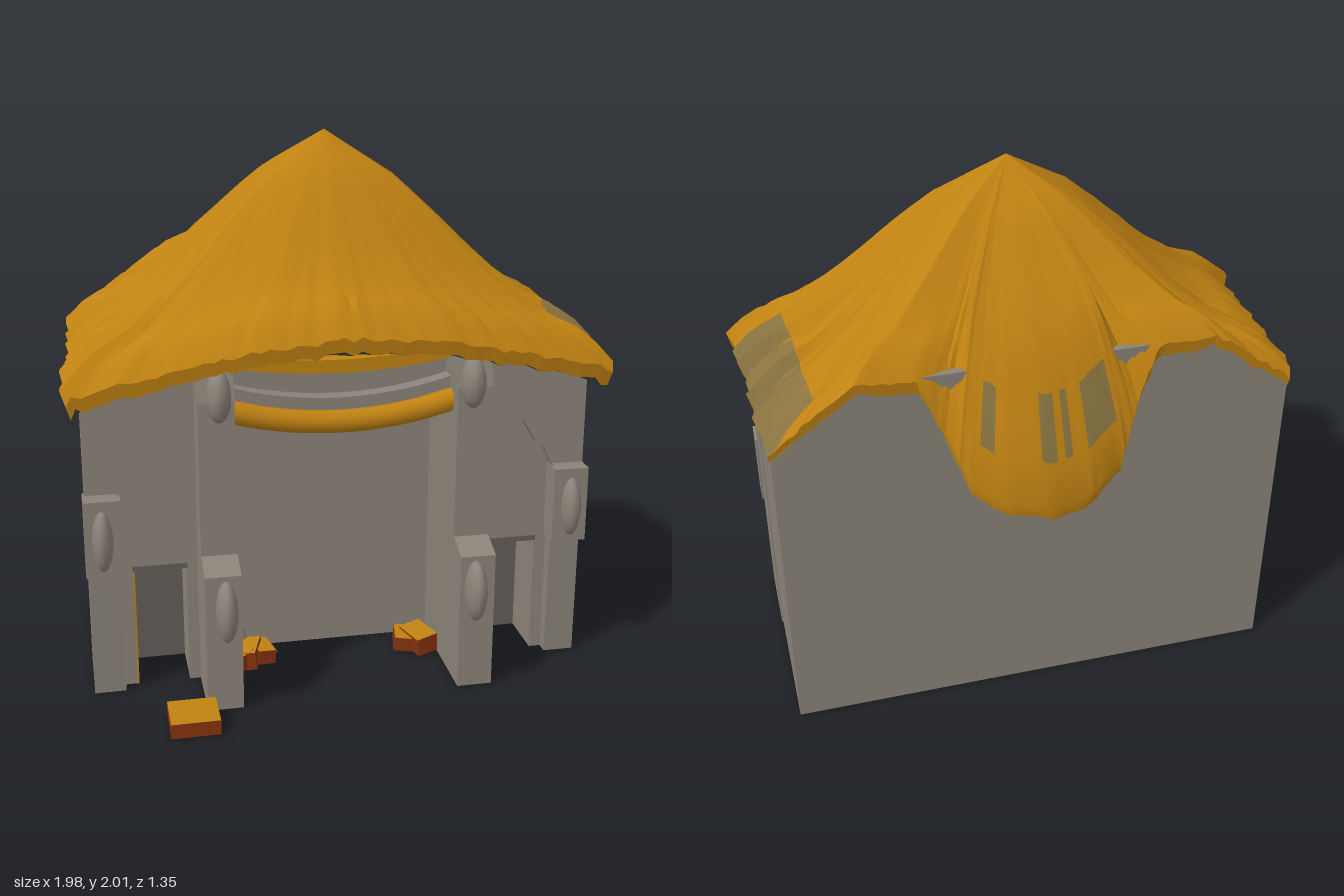
import * as THREE from 'three';
import { toCreasedNormals } from 'three/addons/utils/BufferGeometryUtils.js';

const mat = (name, color, side = THREE.FrontSide) => {
  const m = new THREE.MeshStandardMaterial({ color, side });
  m.name = name;
  return m;
};

export function createModel() {
  const group = new THREE.Group();
  const straw = mat('straw', 0xc08212, THREE.DoubleSide);
  const oldStraw = mat('weatheredStraw', 0x8a7440, THREE.DoubleSide);
  const stone = mat('stone', 0x8a8378);
  const shade = mat('darkUnderside', 0x4a474a, THREE.DoubleSide);
  const doorGrey = mat('doorGrey', 0x625e59);
  const brick = mat('brick', 0x86330f);

  let seed = 7;
  const rand = () => ((seed = (seed * 16807) % 2147483647) / 2147483647);
  const add = (name, geo, material, x = 0, y = 0, z = 0) => {
    const m = new THREE.Mesh(geo, material);
    m.name = name;
    m.position.set(x, y, z);
    group.add(m);
    return m;
  };
  const box = (name, material, x0, x1, y0, y1, z0, z1) =>
    add(name, new THREE.BoxGeometry(x1 - x0, y1 - y0, z1 - z0), material, (x0 + x1) / 2, (y0 + y1) / 2, (z0 + z1) / 2);
  const poly = (pts) => new THREE.Shape(pts.map(([x, y]) => new THREE.Vector2(x, y)));
  const extrude = (pts, depth) => new THREE.ExtrudeGeometry(poly(pts), { depth, bevelEnabled: false });
  // Extrudes a (z, y) side profile along x, centred on x = 0
  const sideExtrude = (pts, w) => extrude(pts, w).rotateY(-Math.PI / 2).translate(w / 2, 0, 0);

  // Solid rear block, its gabled top hidden under the roof
  add('rearBlock', extrude([[-0.92, 0], [0.92, 0], [0.92, 1.2], [0.78, 1.31], [0.62, 1.42],
    [0.4, 1.45], [-0.4, 1.45], [-0.62, 1.42], [-0.78, 1.31], [-0.92, 1.2]], 0.52), stone, 0, 0, -0.48);

  // Front bays, columns and piers, repeated on both sides
  for (const s of [1, -1]) {
    const mx = (pts) => pts.map(([x, y]) => [x * s, y]);
    const columnProfile = [[0.04, 0], [0.51, 0], [0.51, 0.52], [0.41, 0.56], [0.41, 1.13], [0.38, 1.24], [0.04, 1.24]];
    add('hallColumn', sideExtrude(columnProfile, 0.13), stone, s * 0.465);
    const pierProfile = [[0.04, 0], [0.305, 0], [0.31, 0.47], [0.345, 0.5], [0.345, 0.74], [0.305, 0.78], [0.305, 1.22], [0.04, 1.22]];
    add('cornerPier', sideExtrude(pierProfile, 0.115), stone, s * 0.8675);
    box('pierBlock', stone, s * 0.868 - 0.066, s * 0.868 + 0.066, 0.48, 0.77, 0.25, 0.35);
    // Stepped gable standing proud of the door wall
    add('gableFace', extrude(mx([[0.52, 1.22], [0.52, 0.78], [0.59, 0.86], [0.62, 0.865], [0.66, 0.94], [0.685, 0.96],
      [0.74, 0.87], [0.77, 0.85], [0.82, 0.74], [0.82, 1.22]]), 0.06), stone, 0, 0, 0.245);
    add('doorWall', extrude(mx([[0.52, 0], [0.57, 0], [0.57, 0.46], [0.765, 0.46], [0.765, 0], [0.82, 0],
      [0.82, 1.22], [0.52, 1.22]]), 0.23), stone, 0, 0, 0.03);
    box('doorBack', doorGrey, s * 0.6675 - 0.1, s * 0.6675 + 0.1, 0, 0.47, 0.035, 0.06);
    box('doorLintel', doorGrey, s * 0.6675 - 0.1, s * 0.6675 + 0.1, 0.455, 0.475, 0.2, 0.265);
    const jamb = s * 0.6675 - 0.0975;
    box('doorJambPaint', straw, jamb, jamb + 0.006, 0, 0.45, 0.13, 0.262);
    // Rounded stone bosses
    for (const [x, y, z, rx, ry, rz] of [[0.455, 0.39, 0.52, 0.04, 0.115, 0.075],
      [0.87, 0.62, 0.345, 0.038, 0.115, 0.06], [0.455, 1.15, 0.41, 0.045, 0.095, 0.06]]) {
      add('boss', new THREE.SphereGeometry(1, 14, 10).scale(rx, ry, rz), stone, s * x, y, z);
    }
  }

  // Hall head: lintel, sagging straw roll and inner straw strip
  const sag = (x, d) => -d * (1 - (x / 0.41) ** 2);
  const band = (y0, y1, d) => {
    const xs = Array.from({ length: 13 }, (_, i) => -0.41 + (i * 0.82) / 12);
    return [...xs.map((x) => [x, y0 + sag(x, d)]), ...xs.reverse().map((x) => [x, y1 + sag(x, d)])];
  };
  box('hallLintel', stone, -0.41, 0.41, 1.0, 1.25, 0.03, 0.25);
  add('curvedLintel', extrude(band(1.06, 1.15, 0.06), 0.06), stone, 0, 0, 0.25);
  add('innerStraw', extrude(band(1.22, 1.27, 0.04), 0.06), straw, 0, 0, 0.25);
  const rollPath = new THREE.CatmullRomCurve3([-0.42, -0.28, -0.14, 0, 0.14, 0.28, 0.42]
    .map((x) => new THREE.Vector3(x, 1.065 + sag(x, 0.06), 0.32)));
  add('strawRoll', new THREE.TubeGeometry(rollPath, 24, 0.042, 10), straw);
  box('wallPaint', straw, -0.402, -0.396, 0.6, 1.0, 0.12, 0.26);

  // Thatched roof: half of the eave line, mirrored into a closed loop
  const half = [[0, 1.31, 0.51], [0.35, 1.28, 0.5], [0.7, 1.2, 0.465], [0.92, 1.14, 0.435], [0.98, 1.12, 0.42],
    [0.97, 1.16, 0.25], [0.95, 1.17, 0], [0.945, 1.18, -0.25], [0.93, 1.18, -0.48], [0.78, 1.3, -0.485],
    [0.63, 1.41, -0.485], [0.42, 1.4, -0.49], [0.34, 1.22, -0.53], [0.27, 1.03, -0.6], [0.15, 0.94, -0.65], [0, 0.92, -0.67]];
  const loop = [...half, ...half.slice(1, -1).reverse().map(([x, y, z]) => [-x, y, z])];
  const eave = [];
  loop.forEach((p, i) => {
    const a = new THREE.Vector3(...p), b = new THREE.Vector3(...loop[(i + 1) % loop.length]);
    const n = Math.ceil(a.distanceTo(b) / 0.035);
    for (let k = 0; k < n; k++) eave.push(a.clone().lerp(b, k / n));
  });
  // Piecewise drop from the apex (0) to the eave (1)
  const curve = (pts, t) => {
    const i = Math.max(1, pts.findIndex((p) => p[0] >= t));
    const [a, b] = [pts[i - 1], pts[i]];
    return a[1] + ((b[1] - a[1]) * (t - a[0])) / (b[0] - a[0]);
  };
  const slope = [[0, 0], [0.25, 0.2], [0.4, 0.37], [0.6, 0.62], [0.75, 0.77], [0.9, 0.87], [1, 1]];
  const drape = [[0, 0], [0.3, 0.15], [0.6, 0.37], [0.72, 0.47], [0.83, 0.64], [0.95, 0.86], [1, 1]];
  const rows = 16, cols = eave.length, pos = [], main = [], worn = [];
  const streak = eave.map(() => rand() - 0.5);
  for (let r = 0; r <= rows + 1; r++) {
    eave.forEach((e, j) => {
      const lip = r > rows, t = Math.min(1, r / rows);
      const w = THREE.MathUtils.clamp((-e.z - 0.49) / 0.08, 0, 1);
      const d = (1 - w) * curve(slope, t) + w * curve(drape, t);
      const onSide = Math.abs(e.x) > 0.93 ? 1 : 0.35;
      const rough = streak[j] * t * t * 0.06 * onSide + (rand() - 0.5) * 0.012 * t * onSide;
      const k = (lip ? 0.985 : 1) + (onSide === 1 ? streak[j] * 0.03 * t * t : 0);
      pos.push(e.x * t * k, 2 - (2 - e.y - 0.045) * d + (r ? rough : 0) - (lip ? 0.05 : 0), -0.03 + (e.z + 0.03) * t * (lip ? 0.985 : 1));
    });
  }
  for (let r = 0; r <= rows; r++) {
    for (let j = 0; j < cols; j++) {
      const e = eave[j], j2 = (j + 1) % cols;
      const a = r * cols + j, b = a + cols, c = (r + 1) * cols + j2, d = r * cols + j2;
      const sidePatch = e.x > 0.92 && e.z < 0.3 && r > 12 && r < 16 && streak[j] > -0.25;
      const drapePatch = e.z < -0.6 && r > 12 && r < 15 && Math.abs(streak[j]) < 0.35;
      const list = sidePatch || drapePatch ? worn : main;
      list.push(a, b, c);
      if (r) list.push(a, c, d);
    }
  }
  const roofGeo = new THREE.BufferGeometry();
  roofGeo.setAttribute('position', new THREE.Float32BufferAttribute(pos, 3));
  roofGeo.setIndex([...main, ...worn]);
  roofGeo.addGroup(0, main.length, 0);
  roofGeo.addGroup(main.length, worn.length, 1);
  add('thatchRoof', toCreasedNormals(roofGeo, 0.6), [straw, oldStraw]);

  // Underside joining the eave to the walls: dark at the front, straw below the rear drape
  const underside = (name, test, material) => {
    const p = [], idx = [];
    eave.forEach((e, j) => {
      const n = rows * cols + cols + j;
      p.push(pos[n * 3], pos[n * 3 + 1], pos[n * 3 + 2]);
      p.push(e.x * 0.88, e.z > 0.3 ? Math.min(e.y, 1.24) : e.y, e.z < -0.45 ? -0.47 : e.z * 0.55);
      const a = j * 2, b = ((j + 1) % cols) * 2;
      if (test(e)) idx.push(a, a + 1, b, b, a + 1, b + 1);
    });
    const g = new THREE.BufferGeometry();
    g.setAttribute('position', new THREE.Float32BufferAttribute(p, 3));
    g.setIndex(idx);
    g.computeVertexNormals();
    add(name, g, material);
  };
  underside('eaveUnderside', (e) => e.z > -0.47, shade);
  underside('drapeUnderside', (e) => e.z <= -0.47, straw);

  // Loose bricks with straw-coloured tops, and small rubble
  const brickFaces = [brick, brick, straw, brick, brick, brick];
  const addBrick = (x, y, z, w, h, d, ry = 0, rz = 0) => {
    const m = add('looseBrick', new THREE.BoxGeometry(w, h, d), brickFaces, x, y, z);
    m.rotation.set(0, ry, rz);
  };
  addBrick(-0.59, 0.028, 0.595, 0.175, 0.055, 0.165);
  for (const s of [1, -1]) {
    addBrick(s * 0.34, 0.035, 0.17, 0.09, 0.07, 0.14, s * 0.3, 0.12);
    addBrick(s * 0.28, 0.03, 0.15, 0.07, 0.055, 0.12, -s * 0.2, -0.1);
  }
  addBrick(-0.38, 0.04, 0.2, 0.08, 0.06, 0.1, 0.7, 0.2);
  add('rubble', new THREE.ConeGeometry(0.05, 0.12, 5), stone, -0.35, 0.06, 0.1);
  add('rubble', new THREE.ConeGeometry(0.05, 0.06, 5), stone, -0.26, 0.03, 0.1);
  return group;
}
